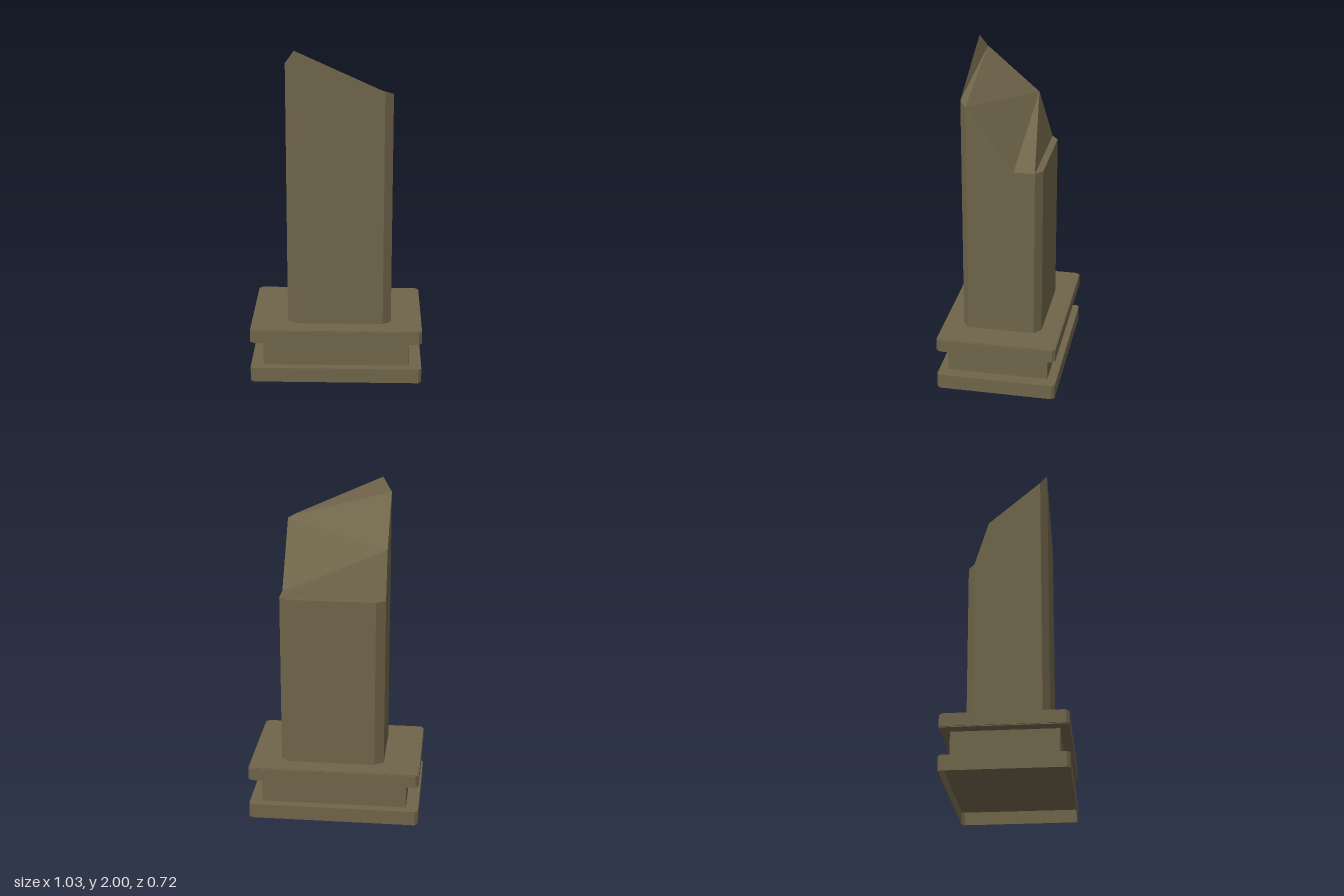
import * as THREE from 'three';

// Rectangle outline with cut corners
function cutRect(Type, hx, hz, cut) {
  const p = new Type();
  p.moveTo(-hx + cut, -hz);
  [[hx - cut, -hz], [hx, -hz + cut], [hx, hz - cut], [hx - cut, hz],
    [-hx + cut, hz], [-hx, hz - cut], [-hx, -hz + cut]].forEach(([x, z]) => p.lineTo(x, z));
  p.closePath();
  return p;
}

// Upright slab from y0 to y1, optionally hollow
function slab(outline, y0, y1, hole) {
  if (hole) outline.holes.push(hole);
  const g = new THREE.ExtrudeGeometry(outline, { depth: y1 - y0, bevelEnabled: false });
  g.rotateX(-Math.PI / 2);
  g.translate(0, y0, 0);
  return g;
}

// Eight-sided shaft with a slanted, broken top
function shaftGeometry() {
  const bottom = 0.33;
  // Rim clockwise from the back-left, seen from above: x, y, z
  const rim = [
    [-0.24, 1.37, -0.24], [0.28, 1.37, -0.24], [0.33, 1.37, -0.2], [0.33, 1.37, -0.075],
    [0.33, 1.745, 0.2], [0.28, 1.765, 0.24], [-0.24, 2, 0.24], [-0.295, 1.92, 0.2],
    [-0.295, 1.65, -0.115], [-0.295, 1.37, -0.2],
  ];
  const pos = [];
  const tri = (a, b, c) => pos.push(...a, ...b, ...c);
  // Side walls
  rim.forEach((a, i) => {
    const b = rim[(i + 1) % rim.length];
    const a0 = [a[0], bottom, a[2]], b0 = [b[0], bottom, b[2]];
    tri(a0, a, b);
    tri(a0, b, b0);
  });
  // Broken top: back ledge, steep wedge, slope, front lip
  [[0, 9, 2], [0, 2, 1], [9, 8, 2], [8, 3, 2], [8, 4, 3], [8, 7, 4], [7, 5, 4], [7, 6, 5]]
    .forEach(([a, b, c]) => tri(rim[a], rim[b], rim[c]));
  const g = new THREE.BufferGeometry();
  g.setAttribute('position', new THREE.Float32BufferAttribute(pos, 3));
  g.computeVertexNormals();
  return g;
}

export function createModel() {
  const group = new THREE.Group();
  const stone = new THREE.MeshStandardMaterial({ color: 0x70654a });
  stone.name = 'brown stone';
  const add = (name, geometry) => {
    const mesh = new THREE.Mesh(geometry, stone);
    mesh.name = name;
    group.add(mesh);
  };
  const plate = () => cutRect(THREE.Shape, 0.515, 0.36, 0.018);
  const plateTop = () => cutRect(THREE.Shape, 0.51, 0.355, 0.018);

  // Bottom plate, hollow underneath
  add('bottomPlateWall', slab(plate(), 0, 0.08, cutRect(THREE.Path, 0.51, 0.355, 0.018)));
  add('bottomPlateTop', slab(plate(), 0.08, 0.09));

  // Narrow neck between the plates
  add('plinthNeck', slab(cutRect(THREE.Shape, 0.44, 0.305, 0.002), 0.09, 0.25));

  // Upper plate with a slim stepped edge
  add('upperPlate', slab(plate(), 0.255, 0.328));
  add('upperPlateUnderside', slab(plateTop(), 0.25, 0.255));
  add('upperPlateTop', slab(plateTop(), 0.328, 0.333));

  add('brokenShaft', shaftGeometry());
  return group;
}
